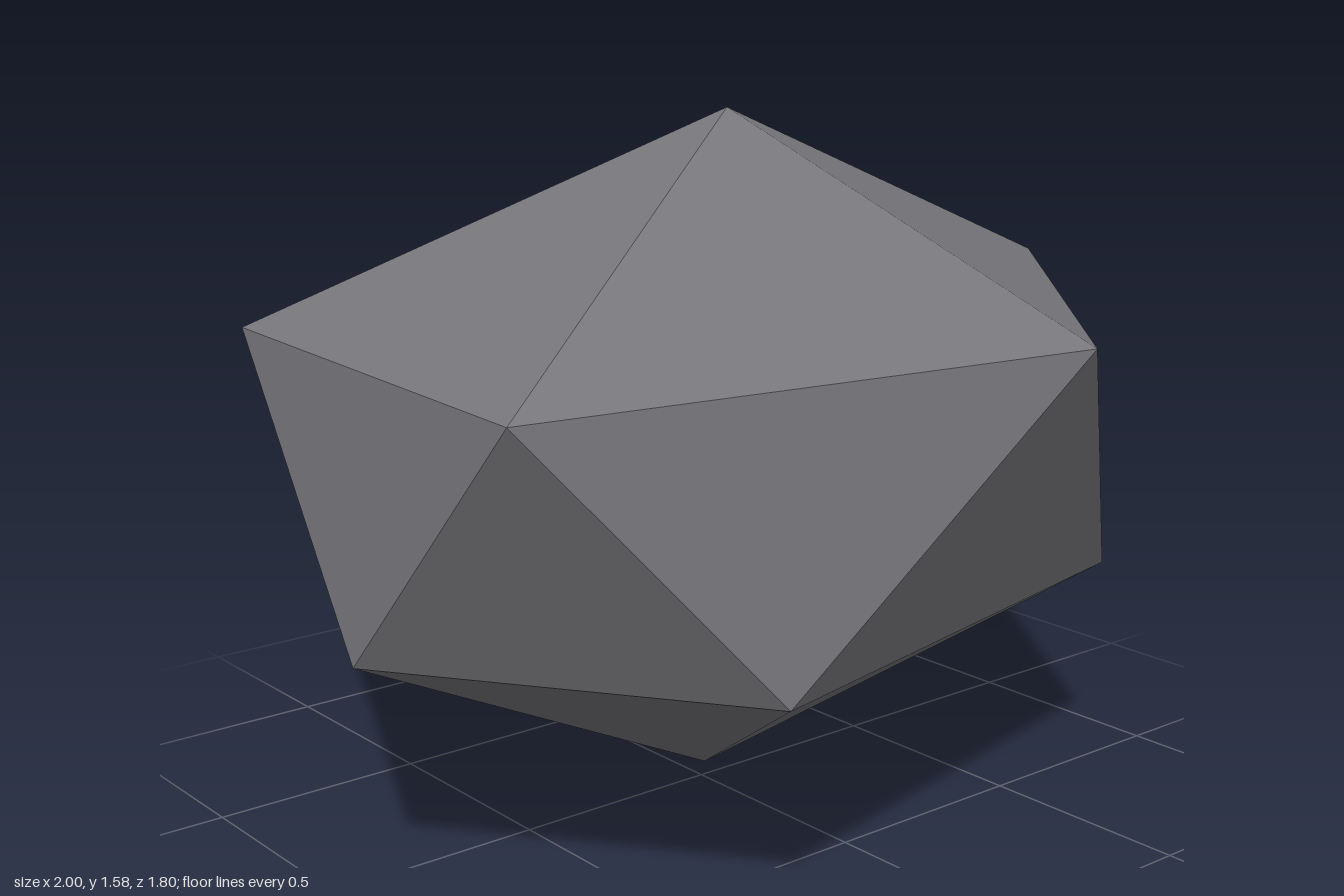
import * as THREE from 'three';

export function createModel() {
  const group = new THREE.Group();
  const stone = new THREE.MeshStandardMaterial({ color: 0x77767b, flatShading: true });
  stone.name = 'stone grey';

  // Uneven twenty-sided rock: two poles and two staggered rings of five corners
  const top = [0.04, 1.58, 0.04];
  const bottom = [0.06, 0, -0.06];
  const upper = [[1, 1.18, 0.08], [0.3, 1.135, 0.9], [-0.96, 1.11, 0.625], [-0.84, 1.1, -0.59], [0.185, 1.17, -0.9]];
  const lower = [[0.785, 0.505, 0.54], [-0.45, 0.51, 0.815], [-1, 0.53, 0.12], [-0.45, 0.48, -0.775], [0.915, 0.53, -0.46]];

  // Cap, zigzag belt and underside, one sector at a time
  const positions = [];
  for (let i = 0; i < 5; i++) {
    const j = (i + 1) % 5;
    positions.push(
      ...top, ...upper[j], ...upper[i],
      ...upper[j], ...lower[i], ...upper[i],
      ...lower[i], ...upper[j], ...lower[j],
      ...lower[j], ...bottom, ...lower[i],
    );
  }
  const geometry = new THREE.BufferGeometry();
  geometry.setAttribute('position', new THREE.Float32BufferAttribute(positions, 3));
  geometry.computeVertexNormals();

  const rock = new THREE.Mesh(geometry, stone);
  rock.name = 'rock';
  group.add(rock);
  return group;
}
